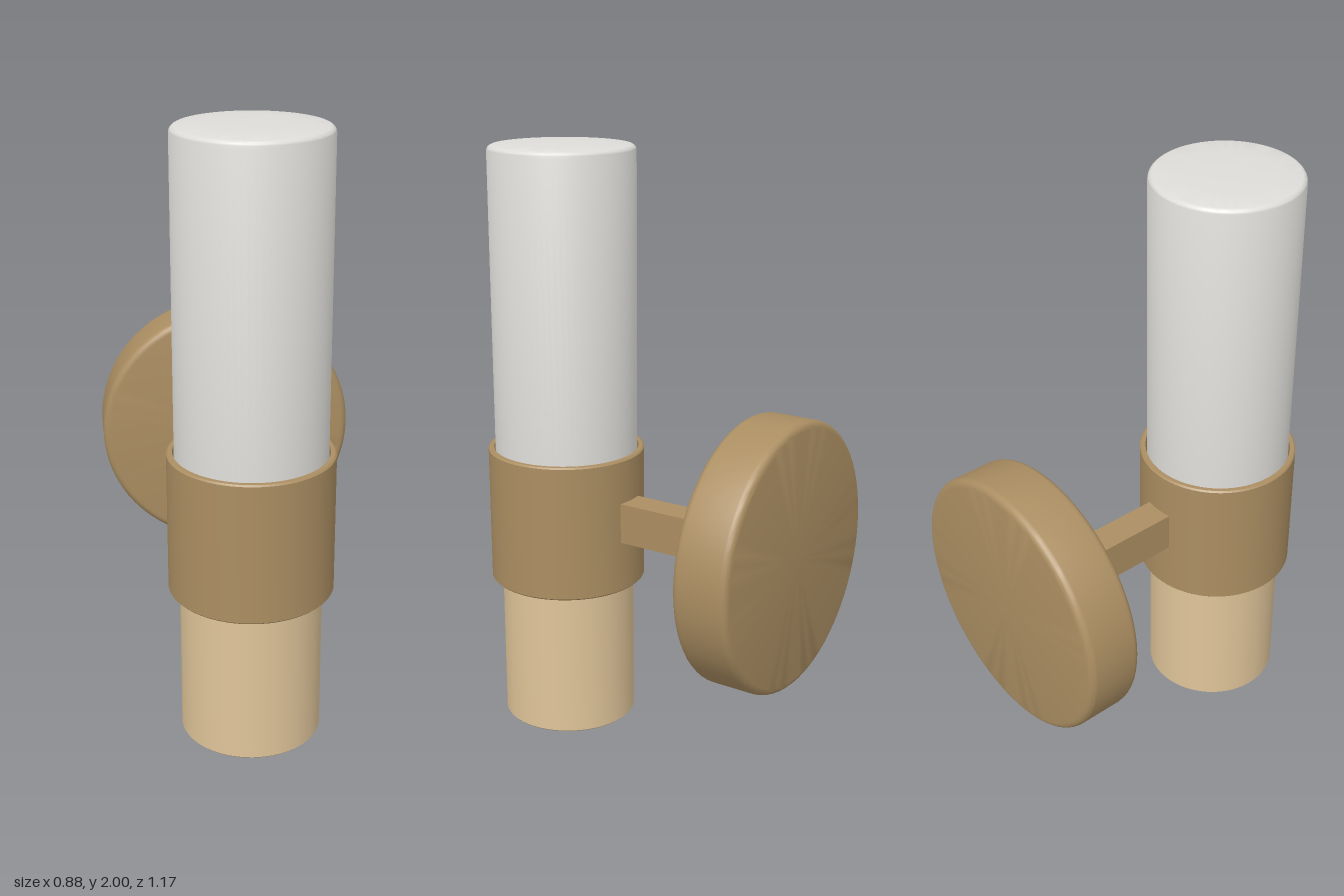
import * as THREE from 'three';
import { toCreasedNormals } from 'three/addons/utils/BufferGeometryUtils.js';

const brass = new THREE.MeshStandardMaterial({ color: 0xab8e62 });
brass.name = 'brass';
const paleBrass = new THREE.MeshStandardMaterial({ color: 0xdfc499 });
paleBrass.name = 'pale brass';
const opal = new THREE.MeshStandardMaterial({ color: 0xdddcd8 });
opal.name = 'opal glass';

const LAMP_Z = 0.32;
const PLATE_Y = 0.76;

// Quarter-round corner points around (cx, cy), from angle a to a + 90 degrees
function fillet(cx, cy, r, a) {
  return Array.from({ length: 6 }, (_, i) => {
    const t = a + (i / 5) * Math.PI / 2;
    return [cx + r * Math.cos(t), cy + r * Math.sin(t)];
  });
}

// Turned solid; the profile runs upward on the outside
function turned(name, profile, material) {
  const points = profile.map(([x, y]) => new THREE.Vector2(x, y));
  const geometry = toCreasedNormals(new THREE.LatheGeometry(points, 72), 0.55);
  const mesh = new THREE.Mesh(geometry, material);
  mesh.name = name;
  return mesh;
}

// Hollow tube with a small edge chamfer
function tube(name, rIn, rOut, y0, y1, material) {
  const c = 0.005;
  return turned(name, [
    [rIn, y1], [rIn, y0], [rOut - c, y0], [rOut, y0 + c],
    [rOut, y1 - c], [rOut - c, y1], [rIn, y1],
  ], material);
}

export function createModel() {
  const model = new THREE.Group();
  model.name = 'wallLamp';

  // Upright lamp: lower tube, collar and glass shade
  const lamp = new THREE.Group();
  lamp.name = 'lamp';
  lamp.position.z = LAMP_Z;
  lamp.add(tube('lowerTube', 0.217, 0.229, 0, 0.72, paleBrass));
  lamp.add(tube('collar', 0.247, 0.266, 0.512, 0.98, brass));
  lamp.add(turned('shade', [
    [0, 0.7], [0.242, 0.7],
    ...fillet(0.222, 1.972, 0.02, 0),
    [0.15, 1.997], [0.08, 1.999], [0, 2],
  ], opal));

  // Disc closing the gap inside the collar
  const seat = new THREE.Mesh(new THREE.CylinderGeometry(0.25, 0.25, 0.04, 72), brass);
  seat.name = 'shadeSeat';
  seat.position.y = 0.68;
  lamp.add(seat);
  model.add(lamp);

  // Arm between collar and wall plate
  const arm = new THREE.Mesh(new THREE.BoxGeometry(0.102, 0.138, 0.48), brass);
  arm.name = 'arm';
  arm.position.set(0, PLATE_Y, -0.165);
  model.add(arm);

  // Round wall plate with softened rims
  const r = 0.025;
  const plate = turned('wallPlate', [
    [0, 0],
    ...fillet(0.442 - r, r, r, -Math.PI / 2),
    ...fillet(0.442 - r, 0.192 - r, r, 0),
    [0, 0.192],
  ], brass);
  plate.rotation.x = Math.PI / 2;
  plate.position.set(0, PLATE_Y, -0.585);
  model.add(plate);

  // Set screw under the plate
  const screw = new THREE.Mesh(new THREE.CylinderGeometry(0.02, 0.016, 0.03, 20), brass);
  screw.name = 'setScrew';
  screw.position.set(0, 0.32, -0.48);
  model.add(screw);

  return model;
}
